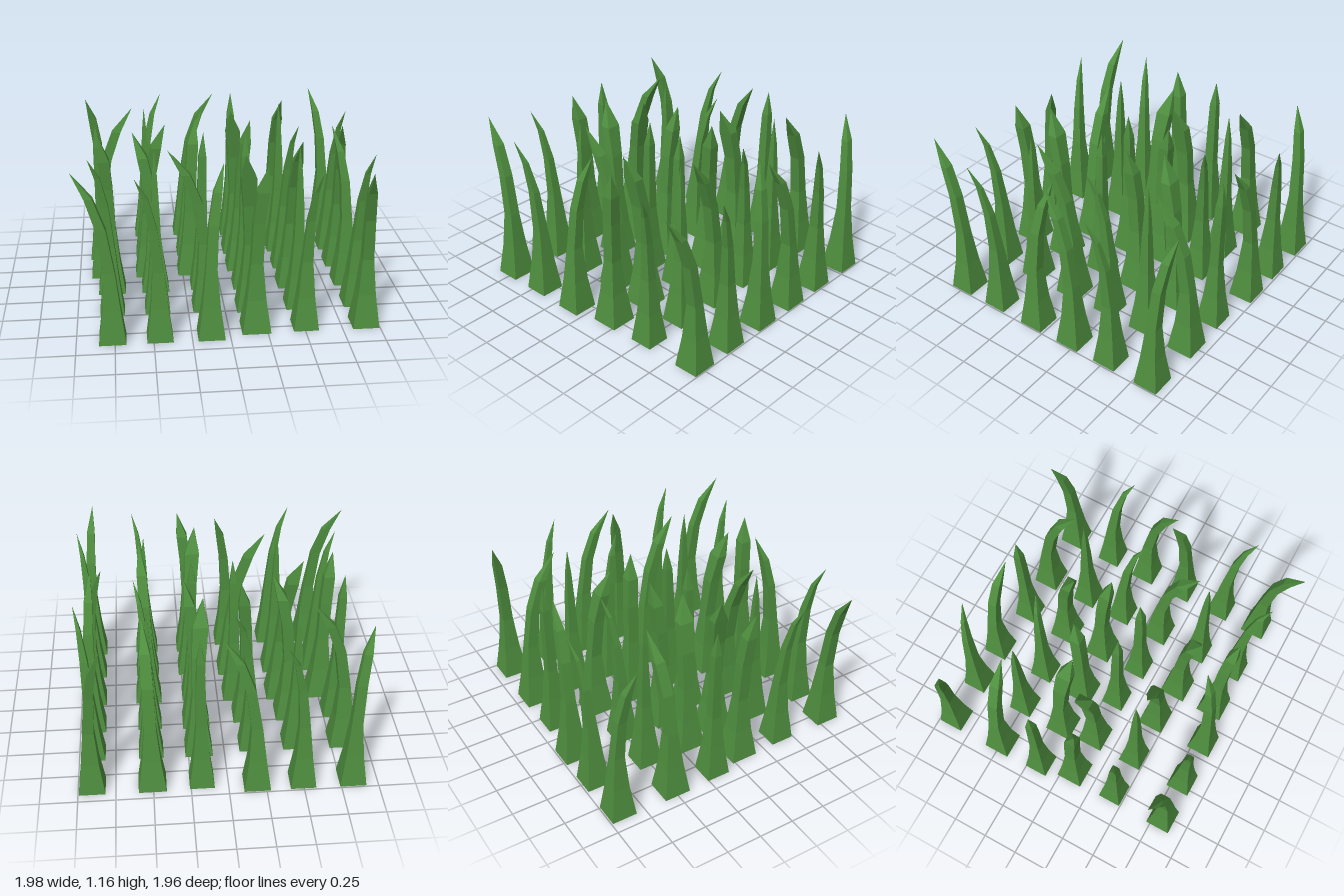
import * as THREE from 'three';

const material = new THREE.MeshStandardMaterial({ color: 0x4f8f3f, flatShading: true });

// Four-sided blade: flared foot, narrow waist, bent upper leaf, pointed tip.
// half: foot half width; tip: [dx, y, dz]; leaf: half widths [x, z] at the shoulder
function bladeGeometry({ half, tip, leaf }) {
  const [dx, top, dz] = tip;
  const waist = half * 0.42;
  const mid = leaf.map((w) => (w + waist) / 2);
  // [height, share of the lean, half width x, half width z]
  const sections = [
    [0, 0, half, half],
    [0.23, 0, half * 0.66, half * 0.66],
    [0.48, 0.03, waist, waist],
    [0.77, 0.21, mid[0], mid[1]],
    [0.98, 0.52, leaf[0], leaf[1]],
    [top, 1, 0, 0],
  ];
  const corners = [[-1, -1], [-1, 1], [1, 1], [1, -1]];
  const position = [];
  const index = [];
  for (const [y, lean, wx, wz] of sections) {
    for (const [cx, cz] of corners) position.push(dx * lean + cx * wx, y, dz * lean + cz * wz);
  }
  index.push(0, 2, 1, 0, 3, 2);
  for (let s = 0; s < sections.length - 1; s++) {
    for (let j = 0; j < 4; j++) {
      const k = (j + 1) % 4;
      const a = s * 4 + j, b = s * 4 + k;
      index.push(a, b, a + 4);
      if (s < sections.length - 2) index.push(b, b + 4, a + 4);
    }
  }
  const indexed = new THREE.BufferGeometry();
  indexed.setAttribute('position', new THREE.Float32BufferAttribute(position, 3));
  indexed.setIndex(index);
  const geometry = indexed.toNonIndexed();
  geometry.computeVertexNormals();
  return geometry;
}

// Nine different blades of one tuft, around the middle blade
const blades = [
  { at: [-0.33, -0.334], half: 0.083, tip: [0, 1.15, -0.015], leaf: [0.026, 0.026] },
  { at: [0, -0.334], half: 0.093, tip: [0.025, 1.155, 0.25], leaf: [0.034, 0.03] },
  { at: [0.4, -0.334], half: 0.088, tip: [-0.115, 1.15, -0.095], leaf: [0.024, 0.028] },
  { at: [-0.33, 0], half: 0.095, tip: [-0.05, 1.15, 0.135], leaf: [0.052, 0.035] },
  { at: [0, 0], half: 0.085, tip: [-0.01, 1.16, 0], leaf: [0.016, 0.016] },
  { at: [0.4, 0], half: 0.085, tip: [0.065, 1.13, 0.14], leaf: [0.014, 0.018] },
  { at: [-0.33, 0.307], half: 0.095, tip: [0.065, 1.15, 0.05], leaf: [0.038, 0.038] },
  { at: [0, 0.307], half: 0.083, tip: [0.072, 1.125, 0.125], leaf: [0.014, 0.018] },
  { at: [0.4, 0.307], half: 0.088, tip: [-0.04, 1.145, 0.225], leaf: [0.028, 0.026] },
];

// The tuft is planted four times: [x, z, quarter turns]
const tufts = [
  [0.506, 0.438, 0],
  [0.506, -0.518, 0],
  [-0.496, -0.502, 1],
  [-0.458, 0.409, -1],
];

export function createModel() {
  const model = new THREE.Group();
  model.name = 'grass';
  const geometries = blades.map(bladeGeometry);
  tufts.forEach(([x, z, turns], t) => {
    const tuft = new THREE.Group();
    tuft.name = `tuft${t + 1}`;
    tuft.position.set(x, 0, z);
    tuft.rotation.y = turns * Math.PI / 2;
    blades.forEach(({ at }, i) => {
      const blade = new THREE.Mesh(geometries[i], material);
      blade.name = `grassBlade${i + 1}`;
      blade.position.set(at[0], 0, at[1]);
      tuft.add(blade);
    });
    model.add(tuft);
  });
  return model;
}
